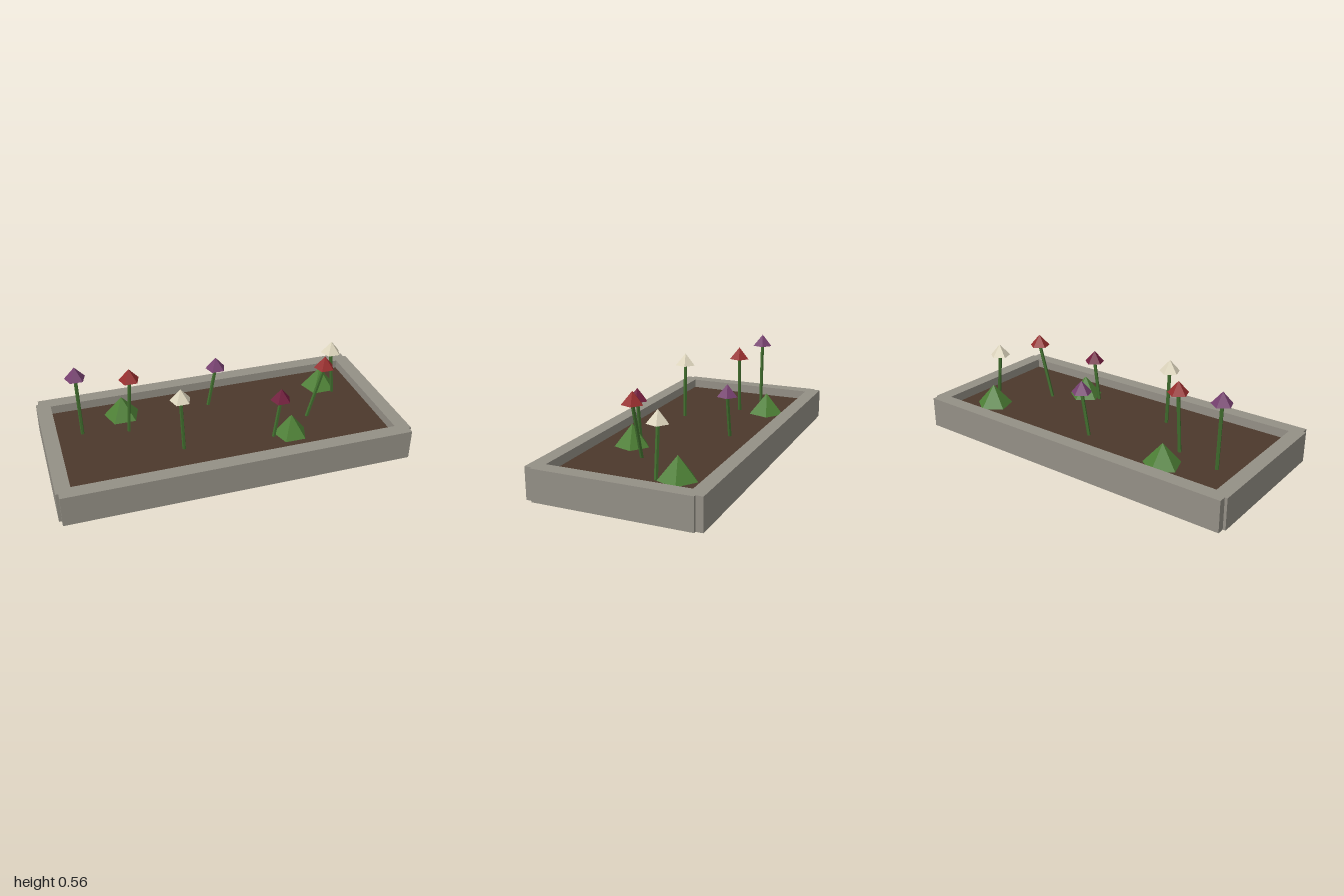
import * as THREE from 'three';

const paint = (name, color) => {
  const m = new THREE.MeshStandardMaterial({ color });
  m.name = name;
  return m;
};

const RIM = 0.177;   // top of the stone border
const SOIL = 0.125;  // top of the earth
const HEAD_H = 0.07;

export function createModel() {
  const stone = paint('stone', 0x949086);
  const earth = paint('earth', 0x4c392c);
  const stemGreen = paint('stemGreen', 0x416e2e);
  const leafGreen = paint('leafGreen', 0x4d7f35);
  const purple = paint('purple', 0x753f6e);
  const red = paint('red', 0x962d2d);
  const crimson = paint('crimson', 0x701c3c);
  const cream = paint('cream', 0xdcd4bc);

  const group = new THREE.Group();
  group.name = 'flowerBed';
  const add = (parent, name, geometry, material, x = 0, y = 0, z = 0) => {
    const mesh = new THREE.Mesh(geometry, material);
    mesh.name = name;
    mesh.position.set(x, y, z);
    parent.add(mesh);
    return mesh;
  };
  // Five-sided faceted cone standing on its base, one corner toward the back
  const cone = (r, h) => {
    const g = new THREE.ConeGeometry(r, h, 5).rotateY(Math.PI).translate(0, h / 2, 0).toNonIndexed();
    g.computeVertexNormals();
    return g;
  };

  // Border: rectangle with small notched corners and an open middle
  const rect = (x, z) => [[-x, -z], [x, -z], [x, z], [-x, z]].map(p => new THREE.Vector2(...p));
  const outline = [
    [-0.985, -0.475], [0.985, -0.475], [0.985, -0.435], [1, -0.435], [1, 0.435], [0.985, 0.435],
    [0.985, 0.475], [-0.985, 0.475], [-0.985, 0.435], [-1, 0.435], [-1, -0.435], [-0.985, -0.435],
  ].map(p => new THREE.Vector2(...p));
  const shape = new THREE.Shape(outline);
  shape.holes.push(new THREE.Path(rect(0.918, 0.395)));
  const border = new THREE.ExtrudeGeometry(shape, { depth: RIM, bevelEnabled: false }).rotateX(-Math.PI / 2);
  add(group, 'stoneBorder', border, stone);
  add(group, 'soil', new THREE.BoxGeometry(1.836, SOIL, 0.79), earth, 0, SOIL / 2, 0);

  // Shrubs: x, z, radius
  const shrubs = [[-0.52, -0.26, 0.107], [0.36, 0.21, 0.1], [0.72, -0.228, 0.107]];
  for (const [x, z, r] of shrubs) add(group, 'shrub', cone(r, 0.249 - SOIL), leafGreen, x, SOIL, z);

  // Flowers: head x, stem x at rim height, z, tip height, colour
  const flowers = [
    [-0.783, -0.776, -0.137, 0.561, purple],
    [-0.495, -0.513, -0.086, 0.529, red],
    [-0.272, -0.262, 0.177, 0.513, cream],
    [0.045, 0.008, -0.218, 0.439, purple],
    [0.291, 0.265, 0.212, 0.431, crimson],
    [0.607, 0.532, 0.073, 0.508, red],
    [0.743, 0.767, -0.135, 0.475, cream],
  ];
  for (const [x, rimX, z, tip, colour] of flowers) {
    const flower = new THREE.Group();
    flower.name = 'flower';
    const headY = tip - HEAD_H;
    const lean = (x - rimX) / (headY - RIM);
    const bottomY = SOIL - 0.02, topY = headY + 0.02;
    const length = (topY - bottomY) * Math.hypot(1, lean);
    const stemGeo = new THREE.CylinderGeometry(0.0105, 0.0105, length, 5).rotateY(Math.PI).toNonIndexed();
    stemGeo.computeVertexNormals();
    const midY = (topY + bottomY) / 2;
    const stem = add(flower, 'stem', stemGeo, stemGreen, x + (midY - headY) * lean, midY, z);
    stem.rotation.z = -Math.atan(lean);
    add(flower, 'flowerHead', cone(0.06, HEAD_H), colour, x, headY, z);
    group.add(flower);
  }
  return group;
}
